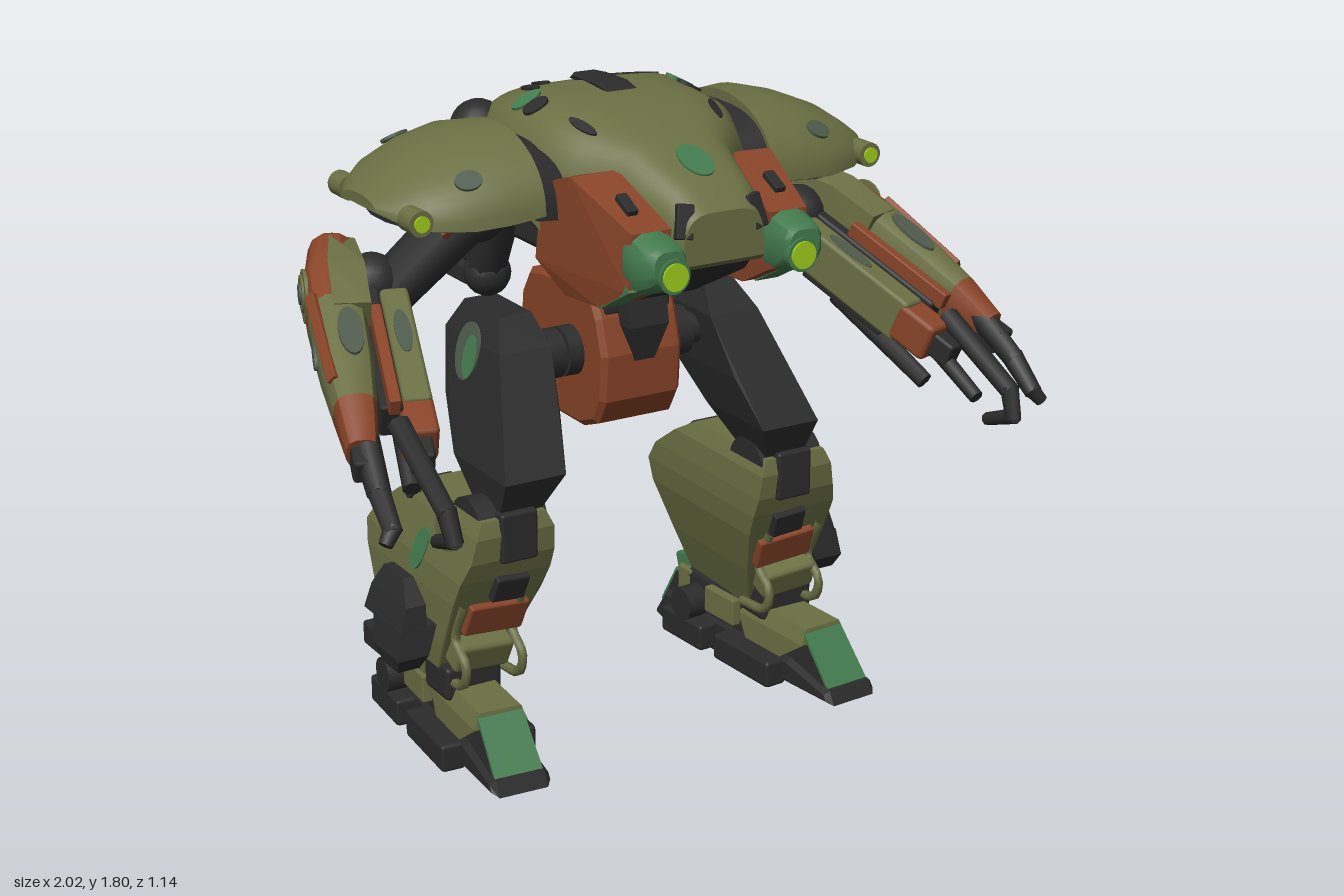
import * as THREE from 'three';
import { toCreasedNormals } from 'three/addons/utils/BufferGeometryUtils.js';
import { ConvexGeometry } from 'three/addons/geometries/ConvexGeometry.js';
import { RoundedBoxGeometry } from 'three/addons/geometries/RoundedBoxGeometry.js';

const paint = (name, color) => Object.assign(new THREE.MeshStandardMaterial({ color }), { name });
const olive = paint('olive armour', 0x6a6f43), red = paint('rust armour', 0x884428);
const dark = paint('dark metal', 0x2b2b2c), green = paint('green trim', 0x437a4e);
const lime = paint('lime lamp', 0x9fce1c), grey = paint('grey green patch', 0x4e5a4c);
const brown = paint('brown metal', 0x43291f);
const V = (a) => new THREE.Vector3(...a);
const UP = V([0, 1, 0]);

function add(parent, name, mat, geo, pos = [0, 0, 0], rot = [0, 0, 0]) {
  const m = new THREE.Mesh(geo, mat);
  m.name = name;
  m.position.set(...pos);
  m.rotation.set(...rot);
  parent.add(m);
  return m;
}
const box = (p, name, mat, size, pos, rot) =>
  add(p, name, mat, new RoundedBoxGeometry(...size, 1, Math.min(...size) * 0.15), pos, rot);
const hull = (p, name, mat, pts) => add(p, name, mat, new ConvexGeometry(pts.map(V)));
// convex block through rectangles [y, x0, x1, z0, z1]
const stack = (p, name, mat, rects) => hull(p, name, mat, rects.flatMap(([y, a, b, c, d]) =>
  [[a, y, c], [b, y, c], [a, y, d], [b, y, d]]));
// thin oval plate, or a longer drum, facing along a normal
function disc(p, name, mat, r1, r2, pos, normal, t = 0.008) {
  const m = add(p, name, mat, new THREE.CylinderGeometry(1, 1, t, 18).scale(r1, 1, r2), pos);
  m.quaternion.setFromUnitVectors(UP, V(normal).normalize());
  return m;
}
// rod through a chain of points
function rod(p, name, mat, pts, r0, r1 = r0) {
  const mix = (k) => r0 + (r1 - r0) * k / (pts.length - 1);
  for (let i = 1; i < pts.length; i++) {
    const a = V(pts[i - 1]), b = V(pts[i]), d = b.clone().sub(a);
    const geo = new THREE.CylinderGeometry(mix(i), mix(i - 1), d.length() + r1, 8);
    const m = add(p, name, mat, geo, a.add(b).multiplyScalar(0.5).toArray());
    m.quaternion.setFromUnitVectors(UP, d.normalize());
  }
}
// side profile [z, y] extruded across x
function prism(p, name, mat, profile, width, bevel = 0.015) {
  const shape = new THREE.Shape(profile.map(([z, y]) => new THREE.Vector2(z, y)));
  const depth = width - 2 * bevel;
  const geo = new THREE.ExtrudeGeometry(shape, { depth, bevelSize: bevel, bevelThickness: bevel, bevelOffset: -bevel, bevelSegments: 1 });
  return add(p, name, mat, geo.translate(0, 0, -depth / 2).rotateY(-Math.PI / 2));
}
// skin over closed rings ordered along +z
function loft(rings) {
  const n = rings[0].length, pos = rings.flat(2), idx = [];
  for (let i = 0; i < rings.length - 1; i++) for (let j = 0; j < n; j++) {
    const a = i * n + j, b = i * n + (j + 1) % n;
    idx.push(a, b, a + n, b, b + n, a + n);
  }
  [0, rings.length - 1].forEach((r, end) => {
    const c = pos.length / 3;
    for (let k = 0; k < 3; k++) pos.push(rings[r].reduce((s, v) => s + v[k], 0) / n);
    for (let j = 0; j < n; j++) {
      const a = r * n + j, b = r * n + (j + 1) % n;
      if (end) idx.push(c, a, b); else idx.push(c, b, a);
    }
  });
  const geo = new THREE.BufferGeometry();
  geo.setAttribute('position', new THREE.Float32BufferAttribute(pos, 3));
  geo.setIndex(idx);
  return toCreasedNormals(geo, 0.6);
}
// arched section [position, centre, half width, bottom, top]; higher powers are rounder
const arch = ([z, c, w, b, t], pw = 0.5, ph = 0.6, n = 24) => Array.from({ length: n + 1 }, (_, i) => {
  const th = Math.PI * i / n, co = Math.cos(th);
  return [c + w * Math.sign(co) * Math.abs(co) ** pw, b + (t - b) * Math.max(0, Math.sin(th)) ** ph, z];
});
const oval = ([z, cx, cy, w, h], n = 12) => Array.from({ length: n }, (_, i) => {
  const a = 2 * Math.PI * (i + 0.5) / n, f = (v) => Math.sign(v) * Math.abs(v) ** 0.7;
  return [cx + w * f(Math.cos(a)), cy + h * f(Math.sin(a)), z];
});

const SHELL = [[-0.46, 0, 0.25, 1.54, 1.7], [-0.36, 0, 0.3, 1.53, 1.765], [-0.2, 0, 0.325, 1.52, 1.8], [0, 0, 0.32, 1.5, 1.78],
  [0.1, 0, 0.28, 1.42, 1.755], [0.2, 0, 0.19, 1.42, 1.715], [0.36, 0, 0.15, 1.42, 1.64], [0.42, 0, 0.12, 1.45, 1.58]];
function shellTop(x, z) {
  const i = Math.max(1, SHELL.findIndex((s) => s[0] >= z)), a = SHELL[i - 1], s = SHELL[i];
  const [, , w, b, t] = a.map((v, k) => v + (s[k] - v) * (z - a[0]) / (s[0] - a[0]));
  return b + (t - b) * Math.max(0, 1 - (x / w) ** 4) ** 0.3;
}
function shellPatch(p, name, mat, x, z, rx, rz, turn = 0) {
  const e = 0.02, gx = (shellTop(x + e, z) - shellTop(x - e, z)) / (2 * e), gz = (shellTop(x, z + e) - shellTop(x, z - e)) / (2 * e);
  disc(p, name, mat, rx, rz, [x, shellTop(x, z) + 0.001, z], [-gx, 1, -gz]).rotateY(turn);
}
function lamp(p, x, y, z, dir, r, housing, rim) {
  disc(p, 'lampHousing', housing, r * rim, r * rim, [x, y, z], [0, 0, dir], 0.07);
  disc(p, 'lamp', lime, r, r, [x, y, z + dir * 0.037], [0, 0, dir]);
}

function buildTorso(g) {
  add(g, 'torsoShell', olive, loft(SHELL.map((s) => arch(s))));
  add(g, 'rearShell', dark, loft([[-0.53, 0, 0.18, 1.48, 1.6], [-0.5, 0, 0.22, 1.45, 1.66], [-0.41, 0, 0.26, 1.45, 1.71]].map((s) => arch(s))));
  box(g, 'rearPanel', brown, [0.2, 0.012, 0.1], [0, 1.668, -0.48], [-0.8, 0, 0]);
  shellPatch(g, 'noseMark', green, 0, 0.28, 0.044, 0.064);
  stack(g, 'hatch', dark, [[1.804, -0.03, 0.03, -0.28, -0.13], [1.801, -0.05, 0.05, -0.25, -0.14], [1.79, -0.045, 0.045, -0.28, -0.08]]);
  box(g, 'underbody', dark, [0.56, 0.16, 0.5], [0, 1.48, -0.2]);
  stack(g, 'chin', dark, [[1.46, -0.15, 0.15, -0.2, 0.36], [1.38, -0.14, 0.14, -0.25, 0.3], [1.28, -0.1, 0.1, -0.25, 0.12]]);
  for (let i = 0; i < 3; i++) box(g, 'waistRing', dark, [0.24 - i * 0.02, 0.045, 0.26], [0, 1.35 - i * 0.06, -0.13]);
}

function buildPelvis(g) {
  prism(g, 'pelvis', red, [[-0.3, 1.265], [-0.38, 1.25], [-0.425, 1.18], [-0.435, 1.1], [-0.415, 1.01], [-0.36, 0.925], [-0.27, 0.87],
    [-0.1, 0.87], [-0.02, 0.9], [0.02, 0.97], [0.03, 1.1], [0, 1.2], [-0.04, 1.27]], 0.25);
  stack(g, 'pelvisSpine', dark, [[1.3, -0.06, 0.06, -0.1, 0.04], [1.18, -0.06, 0.06, -0.1, 0.06], [1.08, -0.03, 0.03, -0.1, 0.035]]);
  disc(g, 'hipAxle', dark, 0.045, 0.045, [0, 1.08, -0.14], [1, 0, 0], 0.56);
  for (const x of [-0.2, -0.145, 0.145, 0.2]) disc(g, 'hipCollar', dark, 0.07, 0.07, [x, 1.08, -0.14], [1, 0, 0], 0.045);
  box(g, 'pelvisBackPanel', dark, [0.12, 0.12, 0.02], [0, 1.2, -0.41], [-0.3, 0, 0]);
}

function buildTorsoSide(g) {
  // rust cheek with green muzzle and lamp
  hull(g, 'cheek', red, [[0.31, 1.61, 0.04], [0.31, 1.4, 0], [0.17, 1.36, 0], [0.17, 1.62, 0.04], [0.3, 1.65, 0.17], [0.17, 1.655, 0.18],
    [0.28, 1.32, 0.1], [0.17, 1.32, 0.1], [0.275, 1.33, 0.26], [0.16, 1.33, 0.26], [0.26, 1.55, 0.4], [0.145, 1.55, 0.4], [0.27, 1.4, 0.4], [0.15, 1.4, 0.4]]);
  add(g, 'muzzle', green, loft([[0.375, 0.205, 1.475, 0.068, 0.085], [0.42, 0.205, 1.47, 0.066, 0.075], [0.47, 0.202, 1.475, 0.058, 0.055], [0.485, 0.2, 1.48, 0.045, 0.04]].map((s) => oval(s))));
  lamp(g, 0.19, 1.455, 0.456, 1, 0.036, green, 1.25);
  hull(g, 'cheekUnderPlate', green, [[0.2, 1.405, 0.408], [0.272, 1.405, 0.408], [0.2, 1.325, 0.26], [0.272, 1.325, 0.26], [0.2, 1.42, 0.38], [0.272, 1.42, 0.38], [0.2, 1.345, 0.25], [0.272, 1.345, 0.25]]);
  // markings and vents on the shell
  shellPatch(g, 'greenMark', green, 0.235, -0.175, 0.045, 0.025);
  shellPatch(g, 'roundVent', dark, 0.235, -0.125, 0.038, 0.028);
  shellPatch(g, 'rearVent', dark, 0.1, -0.34, 0.022, 0.07, 0.3);
  shellPatch(g, 'sideVent', dark, 0.17, -0.27, 0.018, 0.07, 0.2);
  shellPatch(g, 'frontVent', dark, 0.2, 0.06, 0.014, 0.05, -0.2);
  box(g, 'noseSlot', dark, [0.045, 0.09, 0.03], [0.105, 1.56, 0.395], [-0.3, 0.2, 0.2]);
  box(g, 'cheekSlot', dark, [0.03, 0.07, 0.02], [0.22, 1.6, 0.31], [-1.1, 0, 0]);
  // rear machinery
  add(g, 'rearDome', dark, new THREE.SphereGeometry(0.08, 16, 12), [0.27, 1.66, -0.38]);
  box(g, 'exhaust', dark, [0.15, 0.12, 0.2], [0.18, 1.5, -0.45], [0.35, 0, 0]);
  box(g, 'exhaustStep', dark, [0.1, 0.16, 0.12], [0.3, 1.4, -0.36], [0.2, 0, 0]);
  box(g, 'rearFoot', dark, [0.13, 0.05, 0.14], [0.28, 1.27, -0.4]);
  add(g, 'lowerJoint', dark, new THREE.SphereGeometry(0.065, 14, 10), [0.305, 1.29, -0.28]);
  rod(g, 'lowerStrut', dark, [[0.31, 1.3, -0.28], [0.31, 1.46, -0.2]], 0.055);
  disc(g, 'rearLampHousing', dark, 0.05, 0.05, [0.13, 1.42, -0.43], [0, -0.3, -1], 0.1);
  add(g, 'rearLamp', lime, new THREE.TorusGeometry(0.026, 0.007, 6, 16), [0.13, 1.405, -0.48], [-0.3, 0, 0]);
  // shoulder armour
  const across = (s, ...powers) => loft(s.map((r) => arch([r[0], -r[1], r[2], r[3], r[4]], ...powers))).rotateY(Math.PI / 2);
  add(g, 'shoulderCollar', dark, across([[0.24, -0.14, 0.25, 1.52, 1.69], [0.36, -0.15, 0.26, 1.53, 1.715]], 0.7, 0.8));
  add(g, 'shoulderPad', olive, across([[0.345, -0.14, 0.265, 1.545, 1.74], [0.44, -0.17, 0.295, 1.535, 1.735], [0.54, -0.17, 0.285, 1.53, 1.71],
    [0.64, -0.16, 0.24, 1.535, 1.67], [0.7, -0.15, 0.18, 1.55, 1.63], [0.74, -0.14, 0.1, 1.57, 1.6]], 1, 0.9));
  disc(g, 'shoulderUnderside', dark, 0.17, 0.25, [0.51, 1.53, -0.16], [0, -1, 0], 0.02);
  lamp(g, 0.68, 1.565, 0.06, 1, 0.021, olive, 1.6);
  lamp(g, 0.68, 1.565, -0.35, -1, 0.021, olive, 1.6);
  disc(g, 'padMarkFront', grey, 0.036, 0.03, [0.53, 1.648, 0.06], [0.25, 1, 0.75]);
  disc(g, 'padMarkRear', grey, 0.04, 0.03, [0.53, 1.674, -0.36], [0.25, 1, -0.55]);
}

function buildArm(g) {
  add(g, 'shoulderJoint', dark, new THREE.SphereGeometry(0.08, 16, 12), [0.4, 1.5, -0.15]);
  rod(g, 'upperArm', dark, [[0.41, 1.52, -0.15], [0.63, 1.3, -0.22]], 0.08, 0.07);
  box(g, 'upperArmPlate', red, [0.1, 0.025, 0.1], [0.49, 1.515, -0.12], [0.5, 0, -0.75]);
  add(g, 'elbow', dark, new THREE.SphereGeometry(0.08, 14, 10), [0.67, 1.33, -0.23]);
  // forearm, local +z runs to the hand
  const f = new THREE.Group();
  f.name = 'forearm';
  f.position.set(0.74, 1.36, -0.27);
  f.lookAt(0.93, 1.075, 0.33);
  g.add(f);
  const S = [[-0.1, 0.02, 0, 0.03, 0.05], [-0.05, 0.02, 0, 0.06, 0.09], [0.08, 0.03, 0, 0.078, 0.105], [0.2, 0.035, 0.005, 0.075, 0.1],
    [0.4, 0.035, 0.01, 0.068, 0.085], [0.54, 0.035, 0.01, 0.055, 0.068], [0.67, 0.035, 0, 0.04, 0.045]];
  [['elbowArmour', red, 0, 4], ['forearmArmour', olive, 3, 6], ['wristArmour', red, 5, 7]].forEach(([n, m, a, b]) =>
    add(f, n, m, loft(S.slice(a, b).map((s) => oval(s)))));
  hull(f, 'forearmFrontPlate', olive, [[-0.045, 0.06, -0.06], [0.025, 0.09, -0.045], [-0.05, 0.1, 0.08], [0.045, 0.112, 0.08], [-0.045, 0.1, 0.24],
    [0.05, 0.105, 0.24], [-0.05, 0, 0.24], [-0.053, -0.02, 0.08], [-0.045, -0.01, -0.03]]);
  box(f, 'forearmEdge', red, [0.02, 0.03, 0.3], [0.09, 0.075, 0.33], [0.05, -0.06, 0.7]);
  disc(f, 'elbowPatch', olive, 0.075, 0.065, [0.106, 0.02, 0.11], [1, 0, 0]);
  disc(f, 'elbowRing', olive, 0.05, 0.05, [0.1, 0.02, 0.1], [1, 0, 0], 0.03);
  disc(f, 'elbowHub', grey, 0.028, 0.028, [0.116, 0.02, 0.1], [1, 0, 0]);
  disc(f, 'forearmMark', grey, 0.025, 0.055, [0.107, 0.01, 0.32], [1, 0, -0.04]);
  disc(f, 'forearmTopMark', grey, 0.032, 0.08, [0.02, 0.101, 0.34], [0, 1, 0.07]);
  box(f, 'gunMount', dark, [0.06, 0.1, 0.46], [-0.055, -0.03, 0.31]);
  box(f, 'gunBody', olive, [0.075, 0.13, 0.42], [-0.125, -0.05, 0.3]);
  box(f, 'gunRail', red, [0.03, 0.05, 0.36], [-0.06, 0.035, 0.38]);
  box(f, 'gunSleeve', red, [0.09, 0.11, 0.13], [-0.12, -0.05, 0.55]);
  disc(f, 'gunMark', grey, 0.022, 0.08, [-0.125, 0.014, 0.26], [0, 1, 0]);
  box(f, 'gunInset', dark, [0.05, 0.05, 0.3], [-0.11, -0.12, 0.3]);
  box(f, 'wrist', dark, [0.07, 0.07, 0.14], [0.03, -0.01, 0.66]);
  box(f, 'gunMuzzle', dark, [0.06, 0.07, 0.1], [-0.115, -0.05, 0.63]);
  // fingers
  rod(g, 'hookFinger', dark, [[0.84, 1.12, 0.27], [0.85, 0.985, 0.53], [0.845, 0.92, 0.555], [0.84, 0.885, 0.46]], 0.03, 0.018);
  rod(g, 'outerFinger', dark, [[0.94, 1.11, 0.28], [0.965, 1.02, 0.4], [0.97, 0.95, 0.48], [0.99, 0.925, 0.49]], 0.036, 0.018);
  rod(g, 'lowerFinger', dark, [[0.7, 1.12, -0.05], [0.79, 0.94, 0.22]], 0.032, 0.025);
  rod(g, 'middleFinger', dark, [[0.79, 1.08, 0.2], [0.81, 0.95, 0.43]], 0.026, 0.02);
}

function buildLeg(g) {
  stack(g, 'thigh', dark, [[1.22, 0.27, 0.365, -0.3, -0.1], [1.14, 0.25, 0.405, -0.34, -0.03], [0.98, 0.275, 0.445, -0.27, 0.06], [0.85, 0.31, 0.49, -0.14, 0.15], [0.75, 0.355, 0.48, -0.05, 0.1]]);
  disc(g, 'thighPatch', grey, 0.08, 0.06, [0.415, 1.11, -0.19], [1, 0.26, 0]);
  disc(g, 'thighMark', green, 0.06, 0.034, [0.419, 1.1, -0.17], [1, 0.26, 0]);
  disc(g, 'knee', dark, 0.085, 0.085, [0.44, 0.7, 0.02], [1, 0, 0], 0.2);
  // shin armour
  stack(g, 'shinArmour', olive, [[0.745, 0.35, 0.54, -0.26, 0.11], [0.7, 0.33, 0.56, -0.34, 0.12], [0.63, 0.325, 0.575, -0.44, 0.11], [0.57, 0.325, 0.595, -0.48, 0.085],
    [0.5, 0.335, 0.6, -0.47, 0.05], [0.36, 0.375, 0.6, -0.42, -0.02], [0.21, 0.43, 0.59, -0.39, -0.09]]);
  disc(g, 'kneeCap', olive, 0.055, 0.055, [0.56, 0.68, -0.03], [1, 0, 0], 0.04);
  disc(g, 'kneeCapHub', olive, 0.035, 0.035, [0.582, 0.68, -0.03], [1, 0, 0]);
  disc(g, 'rearBolt', dark, 0.02, 0.02, [0.55, 0.71, -0.27], [1, 0.2, 0], 0.03);
  disc(g, 'shinMark', green, 0.07, 0.033, [0.589, 0.59, -0.16], [1, 0.2, 0]).rotateY(0.4);
  hull(g, 'shinSidePatch', red, [[0.595, 0.46, -0.3], [0.607, 0.46, -0.28], [0.607, 0.32, -0.34], [0.595, 0.32, -0.36], [0.607, 0.36, -0.2], [0.59, 0.36, -0.2]]);
  const lean = [0.4, 0, 0.09];
  box(g, 'kneePlate', dark, [0.11, 0.14, 0.06], [0.435, 0.69, 0.095]);
  box(g, 'shinVent', dark, [0.1, 0.08, 0.04], [0.445, 0.535, 0.07], lean);
  box(g, 'shinBand', red, [0.18, 0.1, 0.05], [0.465, 0.44, 0.02], lean);
  box(g, 'shinGuard', olive, [0.17, 0.09, 0.1], [0.495, 0.335, -0.02], lean);
  box(g, 'ankleFront', dark, [0.17, 0.1, 0.14], [0.51, 0.24, -0.08]);
  box(g, 'calfPanel', dark, [0.11, 0.14, 0.02], [0.45, 0.665, -0.395], [0.95, 0, 0]);
  for (const x of [0.4, 0.57]) {
    const path = new THREE.CatmullRomCurve3([[x, 0.5, 0.06], [x, 0.38, 0], [x, 0.32, 0.06], [x, 0.26, 0.04], [x, 0.24, -0.08]].map(V));
    add(g, 'ankleHose', olive, new THREE.TubeGeometry(path, 16, 0.014, 6));
  }
  // outrigger pod, leaning outward at its foot
  stack(g, 'sidePodTop', dark, [[0.53, 0.63, 0.66, -0.24, -0.12], [0.47, 0.625, 0.685, -0.27, -0.06], [0.4, 0.63, 0.705, -0.28, -0.05]]);
  stack(g, 'sidePodBase', dark, [[0.41, 0.6, 0.705, -0.22, -0.05], [0.33, 0.63, 0.72, -0.2, -0.04], [0.285, 0.645, 0.71, -0.16, -0.07]]);
  box(g, 'sidePodFoot', dark, [0.09, 0.07, 0.17], [0.635, 0.29, -0.27]);
  // foot, turned slightly outward
  const f = new THREE.Group();
  f.name = 'foot';
  f.position.set(0.51, 0, 0);
  f.rotation.y = 0.07;
  g.add(f);
  prism(f, 'sole', dark, [[0.3, 0.045], [0.28, 0.085], [0.1, 0.12], [-0.5, 0.12], [-0.56, 0.03], [-0.53, 0.015], [-0.15, 0], [0, 0.035]], 0.17);
  stack(f, 'toe', dark, [[0.06, -0.075, 0.075, -0.05, 0.28], [0.2, -0.06, 0.06, -0.08, 0.155]]);
  stack(f, 'toeTop', olive, [[0.11, -0.08, 0.08, -0.1, 0.06], [0.18, -0.078, 0.078, -0.14, 0.16], [0.225, -0.06, 0.06, -0.12, 0.155]]);
  hull(f, 'toePlate', green, [[-0.065, 0.22, 0.15], [0.065, 0.22, 0.15], [-0.07, 0.065, 0.29], [0.07, 0.065, 0.29], [-0.065, 0.21, 0.145], [0.065, 0.21, 0.145], [-0.07, 0.065, 0.28], [0.07, 0.065, 0.28]]);
  for (const s of [-1, 1]) {
    box(f, 'sideTread', dark, [0.07, 0.08, 0.26], [s * 0.105, 0.07, -0.05]);
    box(f, 'rearTread', dark, [0.07, 0.08, 0.2], [s * 0.105, 0.065, -0.34]);
    disc(f, 'ankleHub', dark, 0.05, 0.05, [s * 0.1, 0.145, -0.34], [1, 0, 0], 0.08);
    box(f, 'ankleGuard', olive, [0.03, 0.08, 0.14], [s * 0.09, 0.18, -0.2]);
  }
  box(f, 'ankle', dark, [0.15, 0.14, 0.3], [0, 0.16, -0.26]);
  box(f, 'heelGuard', olive, [0.15, 0.09, 0.08], [0, 0.18, -0.41]);
  box(f, 'heelCap', green, [0.12, 0.05, 0.08], [0, 0.235, -0.435], [-0.3, 0, 0]);
  stack(f, 'heelBlock', dark, [[0.19, -0.065, 0.065, -0.465, -0.4], [0.07, -0.065, 0.065, -0.535, -0.4]]);
  box(f, 'heelPlate', green, [0.12, 0.15, 0.018], [0, 0.13, -0.505], [0.53, 0, 0]);
}

export function createModel() {
  const model = new THREE.Group();
  model.name = 'walkerRobot';
  buildTorso(model);
  buildPelvis(model);
  for (const s of [1, -1]) {
    const side = new THREE.Group();
    side.name = s > 0 ? 'leftSide' : 'rightSide';
    [buildTorsoSide, buildArm, buildLeg].forEach((build) => build(side));
    side.scale.x = s;
    model.add(side);
  }
  return model;
}
